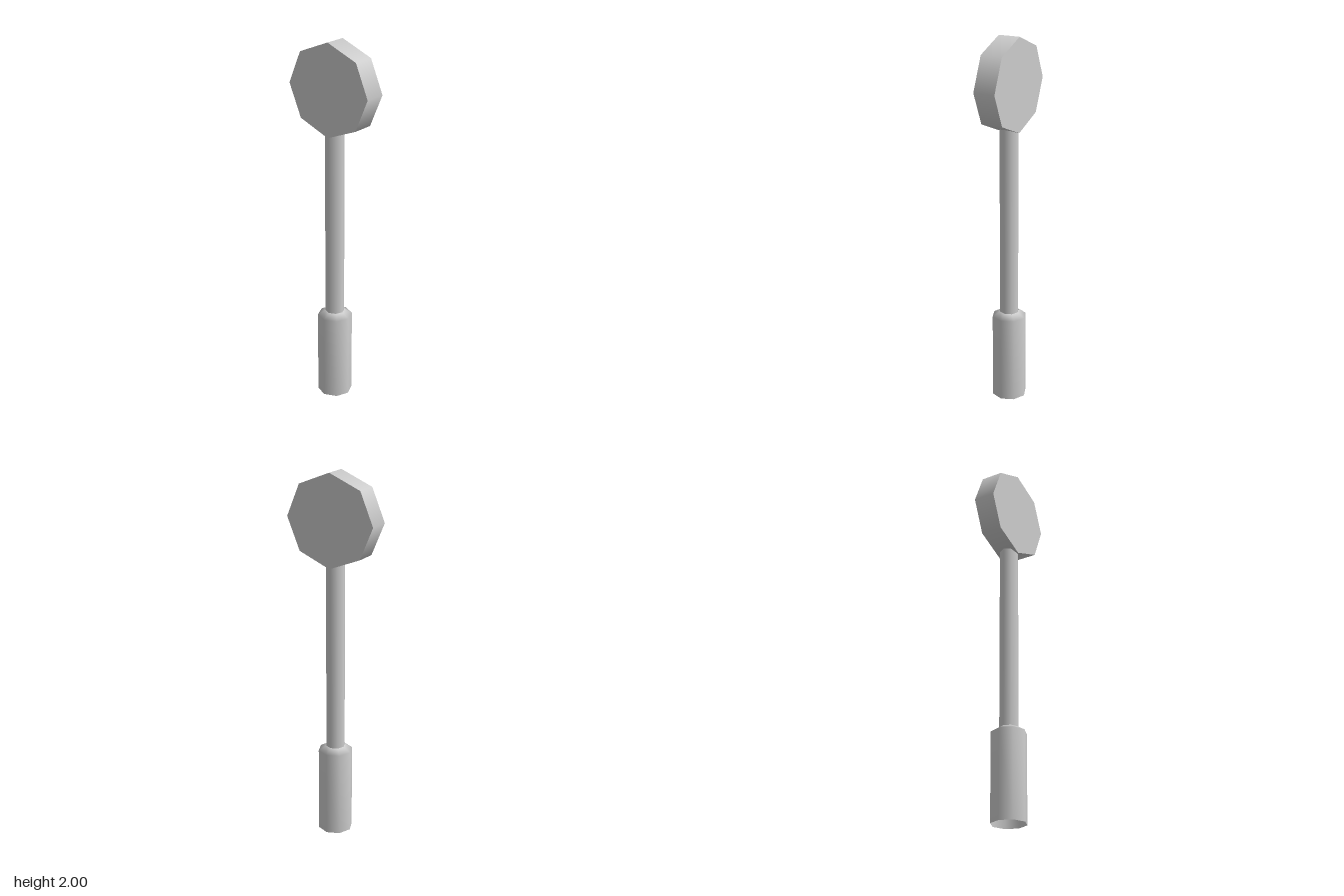
import * as THREE from 'three';

const SIDES = 8;

export function createModel() {
  const model = new THREE.Group();
  const solid = new THREE.MeshStandardMaterial({ color: 0xcccccc });
  const open = new THREE.MeshStandardMaterial({ color: 0xcccccc, side: THREE.DoubleSide });

  const add = (name, geometry, material, x, y, z) => {
    const mesh = new THREE.Mesh(geometry, material);
    mesh.name = name;
    mesh.position.set(x, y, z);
    model.add(mesh);
    return mesh;
  };

  // Hollow sleeve, open underneath, with a short sloping shoulder
  const profile = [[0.094, 0], [0.094, 0.475], [0.052, 0.5]].map(([r, y]) => new THREE.Vector2(r, y));
  add('baseSleeve', new THREE.LatheGeometry(profile, SIDES), open, -0.001, 0, -0.001);

  // Slim post from the shoulder into the underside of the disc
  const bottom = 0.49, top = 1.54;
  add('post', new THREE.CylinderGeometry(0.051, 0.051, top - bottom, SIDES, 1, true),
    open, -0.001, (bottom + top) / 2, 0);

  // Octagonal sign disc with its flat faces to front and back, a touch wider than tall
  const disc = new THREE.CylinderGeometry(0.252, 0.252, 0.119, SIDES);
  disc.rotateX(Math.PI / 2);
  disc.scale(1, 0.246 / 0.252, 1);
  add('signDisc', disc, solid, 0, 1.754, -0.001);

  return model;
}
